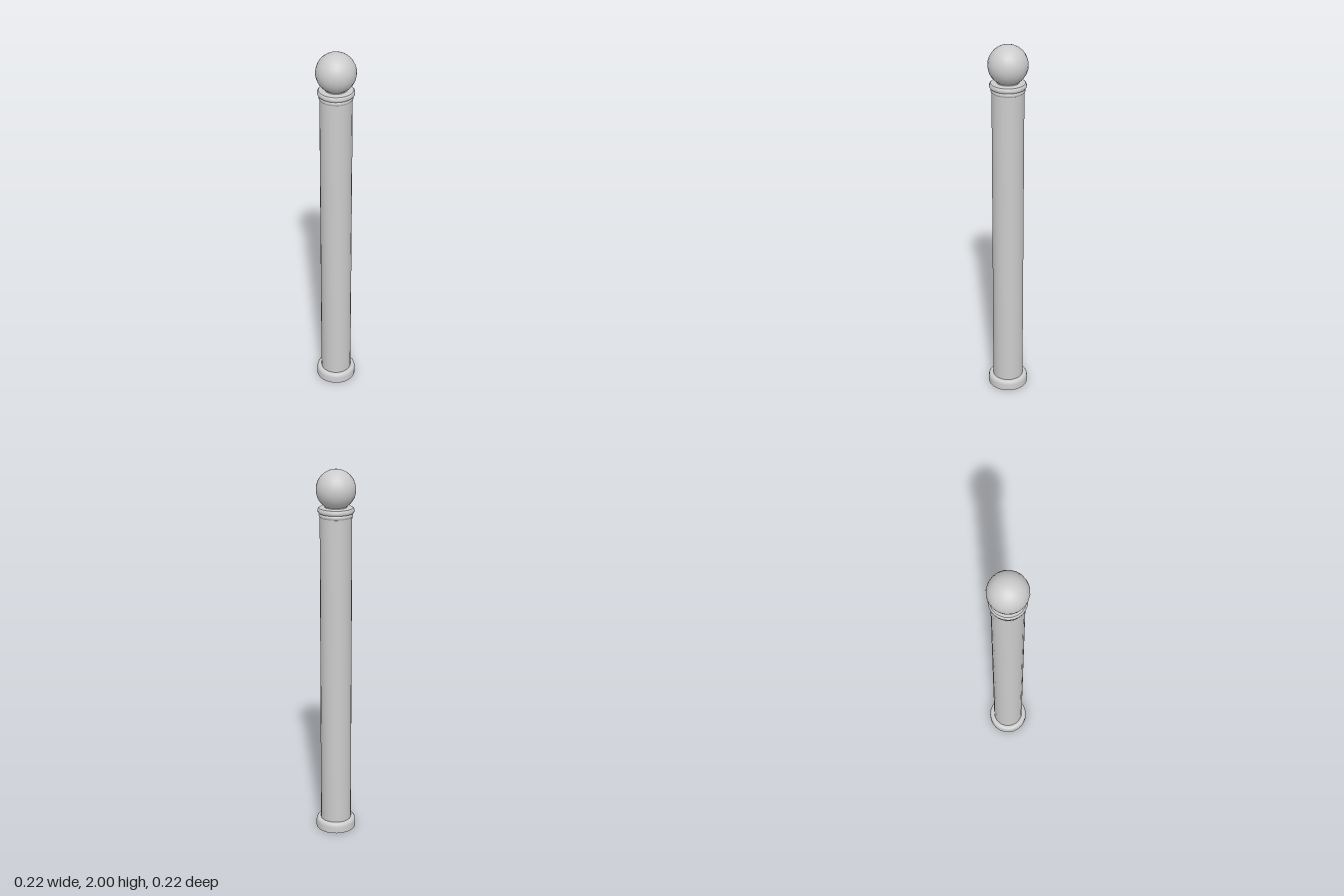
import * as THREE from 'three';
import { toCreasedNormals } from 'three/addons/utils/BufferGeometryUtils.js';

const SIDES = 24;

export function createModel() {
  const post = new THREE.Group();
  post.name = 'bollardPost';
  const solid = new THREE.MeshStandardMaterial({ color: 0xcccccc });
  const open = new THREE.MeshStandardMaterial({ color: 0xcccccc, side: THREE.DoubleSide });

  // Turned part from [radius, height] pairs, listed bottom to top
  function turned(name, profile, material) {
    const points = profile.map(([r, y]) => new THREE.Vector2(r, y));
    const geometry = toCreasedNormals(new THREE.LatheGeometry(points, SIDES), 0.6);
    const mesh = new THREE.Mesh(geometry, material);
    mesh.name = name;
    post.add(mesh);
  }

  // Hollow foot ring, open underneath, with a rounded shoulder
  turned('baseRing', [
    [0.108, 0], [0.108, 0.036], [0.106, 0.046], [0.1, 0.053], [0.094, 0.055], [0.083, 0.055],
  ], open);

  // Hollow shaft
  turned('shaft', [[0.083, 0.055], [0.083, 1.765]], open);

  // Thin moulding below the collar
  turned('lowerMoulding', [
    [0.083, 1.755], [0.087, 1.76], [0.088, 1.766], [0.086, 1.773], [0.082, 1.778],
  ], solid);

  // Rounded collar closing the shaft, with a short neck under the ball
  turned('collar', [
    [0.082, 1.777], [0.09, 1.778], [0.094, 1.784], [0.095, 1.791],
    [0.093, 1.799], [0.088, 1.804], [0.07, 1.804],
    [0.058, 1.807], [0.055, 1.815], [0, 1.815],
  ], solid);

  // Ball finial
  const ball = new THREE.Mesh(new THREE.SphereGeometry(0.103, 20, 16), solid);
  ball.name = 'ballFinial';
  ball.position.y = 1.897;
  post.add(ball);

  return post;
}
